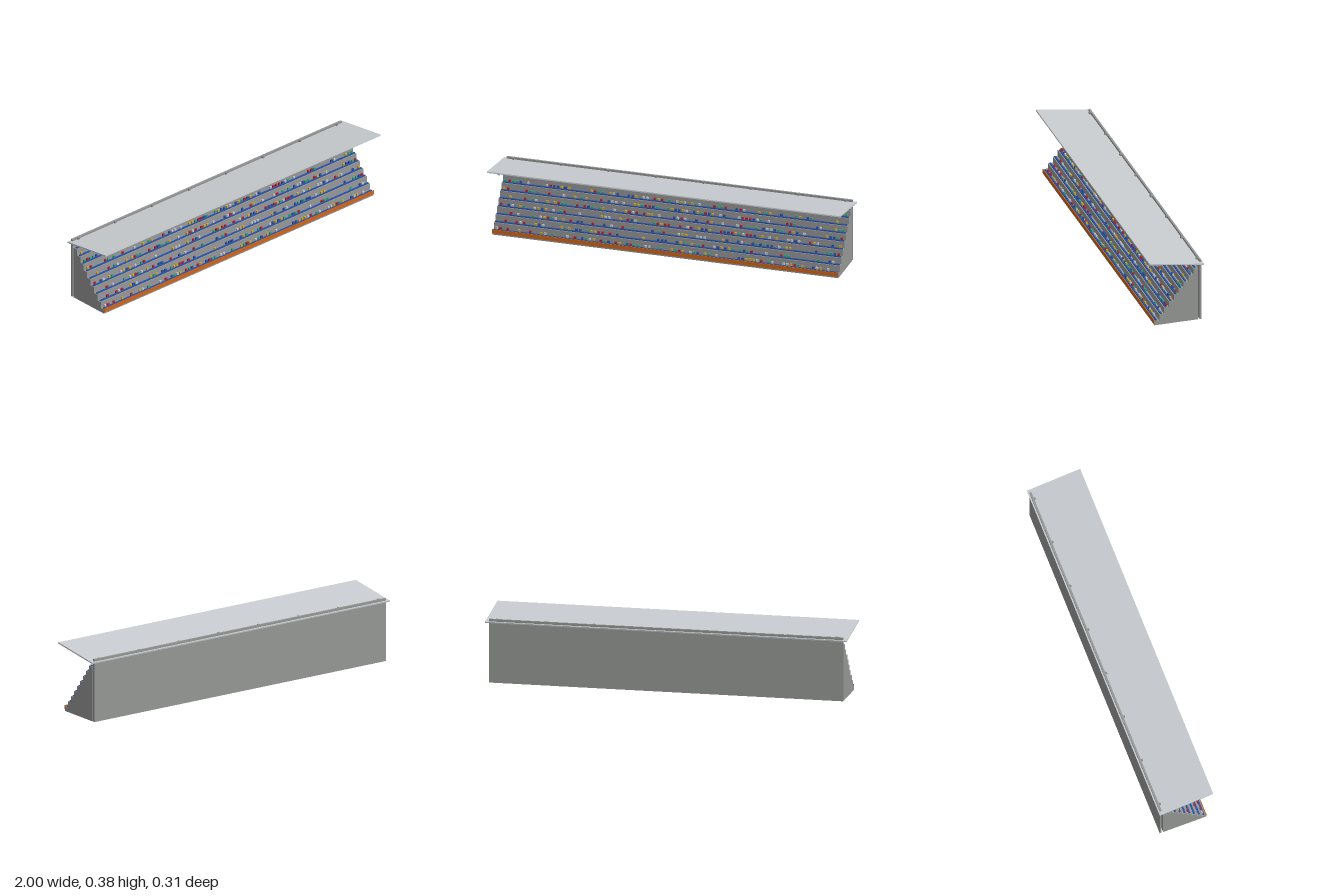
import * as THREE from 'three';
import { mergeGeometries } from 'three/addons/utils/BufferGeometryUtils.js';

const mat = (name, color) => Object.assign(new THREE.MeshStandardMaterial({ color }), { name });

export function createModel() {
  const concrete = mat('concrete', 0x969896);
  const steel = mat('steel', 0x8c8f90);
  const roofing = mat('roofing', 0xc8ccd0);
  const orange = mat('orange', 0xd0661c);
  const blue = mat('blue', 0x2a52a8);
  const crowdMats = [blue, mat('red', 0xb8242f), mat('teal', 0x35a585),
    mat('yellow', 0xd0a92c), mat('paleGrey', 0xc4c8c8)];

  const group = new THREE.Group();
  group.name = 'grandstand';
  const add = (name, geometry, material, parent = group) => {
    const mesh = new THREE.Mesh(geometry, material);
    mesh.name = name;
    parent.add(mesh);
    return mesh;
  };
  // Box given by its limits along y and z
  const slab = (width, y0, y1, z0, z1, x = 0) =>
    new THREE.BoxGeometry(width, y1 - y0, z1 - z0).translate(x, (y0 + y1) / 2, (z0 + z1) / 2);

  const ROWS = 9, WIDTH = 1.96, FRONT = 0.12, DEPTH = 0.0275, BASE = 0.025, RISE = 0.0352;
  const back = FRONT - ROWS * DEPTH;

  // Stepped terrace, extruded along x
  const profile = new THREE.Shape();
  profile.moveTo(back, 0).lineTo(FRONT, 0);
  for (let i = 0; i < ROWS; i++) {
    const top = BASE + i * RISE;
    profile.lineTo(FRONT - i * DEPTH, top);
    profile.lineTo(FRONT - (i + 1) * DEPTH, top);
  }
  profile.closePath();
  const terrace = new THREE.ExtrudeGeometry(profile, { depth: WIDTH, bevelEnabled: false });
  terrace.rotateY(-Math.PI / 2).translate(WIDTH / 2, 0, 0);
  add('terrace', terrace, concrete);

  // Rear wall and front barrier
  add('backWall', slab(WIDTH, 0, 0.353, -0.147, -0.136), concrete);
  add('frontBarrier', slab(WIDTH, 0.009, 0.032, 0.12, 0.1235), orange);

  // Benches and spectators
  let seed = 7;
  const random = () => (seed = (seed * 16807) % 2147483647) / 2147483647;
  const people = crowdMats.map(() => []);
  const seats = 92, pitch = 1.94 / seats;
  for (let i = 0; i < ROWS; i++) {
    const y = BASE + i * RISE, z = FRONT - i * DEPTH;
    add('bench', slab(1.95, y, y + 0.006, z - 0.0155, z - 0.006), blue);
    for (let s = 0; s < seats; s++) {
      if (random() > 0.58) continue;
      const colour = Math.floor(random() * crowdMats.length);
      const x = -0.97 + (s + 0.5) * pitch;
      people[colour].push(slab(0.012, y + 0.003, y + 0.0175, z - 0.02, z - 0.0115, x));
    }
  }
  people.forEach((boxes, i) => add('spectators', mergeGeometries(boxes), crowdMats[i]));

  // Sloping roof with its ribs
  const roof = new THREE.Group();
  roof.name = 'roof';
  roof.position.set(0, 0.357, 0);
  roof.rotation.x = -0.138;
  group.add(roof);
  add('roofPanel', new THREE.BoxGeometry(2, 0.007, 0.312), roofing, roof);

  // Posts and ribs at eight bays
  for (let i = 0; i < 8; i++) {
    const x = -0.94 + i * (1.88 / 7);
    const bay = -0.94 + (x + 0.94);
    add('post', slab(0.011, 0, 0.353, -0.137, -0.127, bay), steel);
    add('roofRib', slab(0.01, -0.0155, -0.0035, -0.13, 0.132, bay), steel, roof);
  }
  return group;
}
